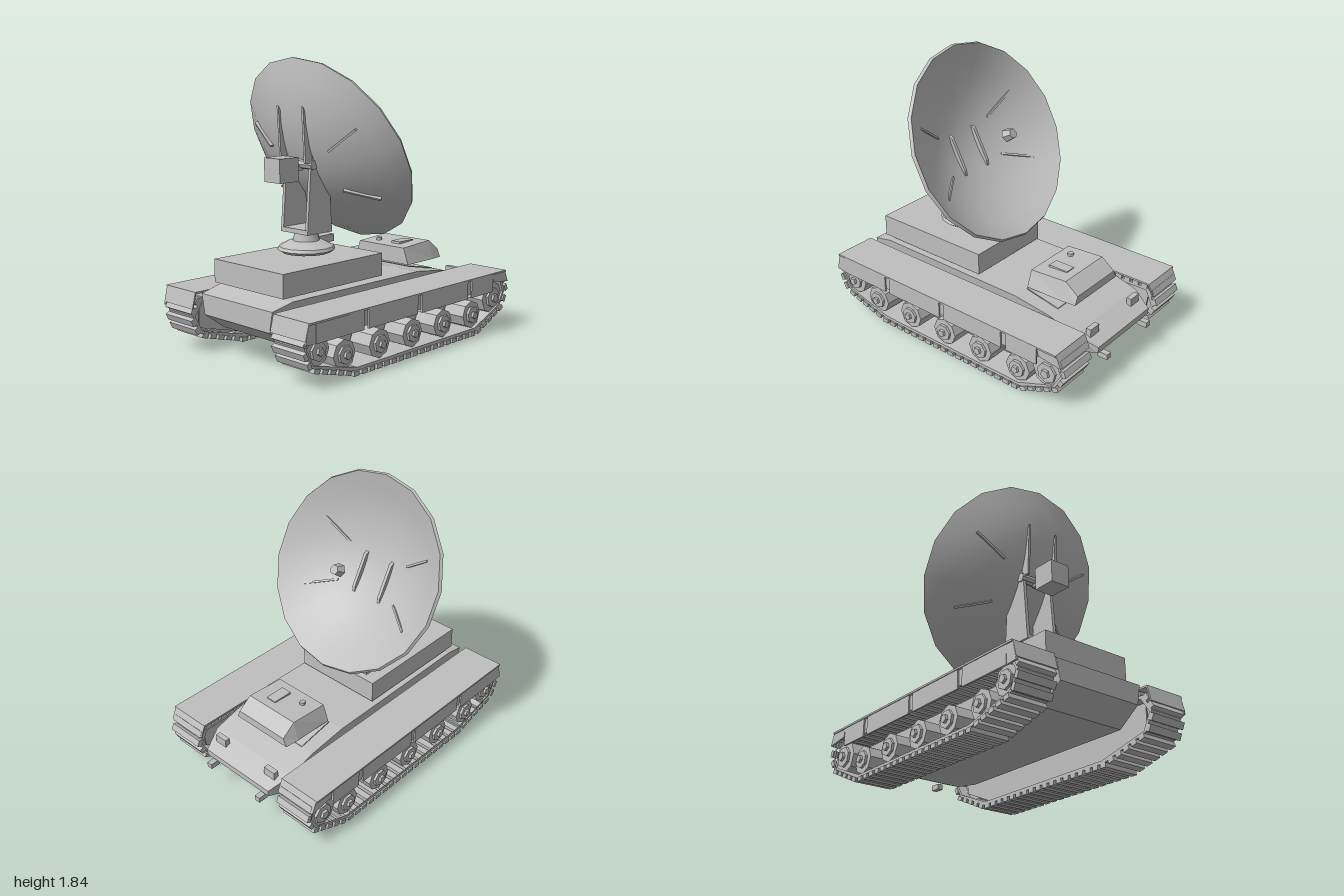
import * as THREE from 'three';
import { toCreasedNormals } from 'three/addons/utils/BufferGeometryUtils.js';

export function createModel() {
  const model = new THREE.Group();
  const grey = new THREE.MeshStandardMaterial({ color: 0xbfbfbf });
  grey.name = 'plain grey';

  function add(name, geometry, x = 0, y = 0, z = 0, parent = model) {
    const mesh = new THREE.Mesh(geometry, grey);
    mesh.name = name;
    mesh.position.set(x, y, z);
    parent.add(mesh);
    return mesh;
  }
  // Box given by its limits on each axis
  function box(name, x0, x1, y0, y1, z0, z1, parent = model) {
    return add(name, new THREE.BoxGeometry(x1 - x0, y1 - y0, z1 - z0),
      (x0 + x1) / 2, (y0 + y1) / 2, (z0 + z1) / 2, parent);
  }
  // Side-view polygon given thickness along z
  function plate(name, points, z0, z1, parent = model) {
    const shape = new THREE.Shape(points.map(p => new THREE.Vector2(...p)));
    return add(name, new THREE.ExtrudeGeometry(shape, { depth: z1 - z0, bevelEnabled: false }), 0, 0, z0, parent);
  }
  // Trapezoid sections along x: [x, bottom y, bottom half width, top y, top half width]
  function loft(name, stations) {
    const rings = stations.map(([x, yb, zb, yt, zt]) => [[x, yb, -zb], [x, yt, -zt], [x, yt, zt], [x, yb, zb]]);
    const pos = [];
    const quad = (a, b, c, d) => pos.push(...a, ...b, ...c, ...a, ...c, ...d);
    for (let i = 0; i < rings.length - 1; i++) {
      for (let k = 0; k < 4; k++) {
        const n = (k + 1) % 4;
        quad(rings[i][k], rings[i][n], rings[i + 1][n], rings[i + 1][k]);
      }
    }
    const first = rings[0], last = rings[rings.length - 1];
    quad(first[3], first[2], first[1], first[0]);
    quad(...last);
    const g = new THREE.BufferGeometry();
    g.setAttribute('position', new THREE.Float32BufferAttribute(pos, 3));
    g.computeVertexNormals();
    return add(name, g);
  }
  // Wheel-like cylinder lying along z
  function disc(name, r, depth, sides, x, y, z, parent) {
    const g = toCreasedNormals(new THREE.CylinderGeometry(r, r, depth, sides), 0.3);
    g.rotateX(Math.PI / 2);
    return add(name, g, x, y, z, parent);
  }

  // Hull with sloped bow and tail
  loft('hull', [
    [-0.93, 0.27, 0.30, 0.40, 0.325], [-0.78, 0.16, 0.30, 0.435, 0.335],
    [0.35, 0.16, 0.30, 0.435, 0.34], [0.62, 0.16, 0.30, 0.40, 0.34],
    [0.82, 0.19, 0.30, 0.345, 0.34], [0.96, 0.24, 0.285, 0.28, 0.285],
  ]);
  plate('cabinFloor', [[0.37, 0.455], [0.37, 0.448], [0.62, 0.398], [0.62, 0.405]], -0.245, 0.245);

  // Crew cabin and hatches
  loft('cabin', [
    [0.37, 0.46, 0.24, 0.57, 0.20], [0.64, 0.46, 0.235, 0.587, 0.20], [0.735, 0.46, 0.225, 0.515, 0.20],
  ]);
  box('cabinHatch', 0.44, 0.58, 0.57, 0.59, 0.03, 0.105);
  add('cabinPeriscope', new THREE.CylinderGeometry(0.02, 0.02, 0.03, 6), 0.46, 0.58, -0.1);

  // Running gear for one side, mirrored to the other
  const path = [[-0.55, 0.03], [0.62, 0.03], [0.89, 0.15], [0.945, 0.25], [0.9, 0.36],
    [-0.9, 0.36], [-0.965, 0.25], [-0.91, 0.13]];
  const curve = new THREE.CurvePath();
  path.forEach((p, i) => curve.add(new THREE.LineCurve(
    new THREE.Vector2(...p), new THREE.Vector2(...path[(i + 1) % path.length]))));

  for (const s of [1, -1]) {
    const side = new THREE.Group();
    side.name = s > 0 ? 'leftTrackUnit' : 'rightTrackUnit';
    if (s < 0) side.rotation.y = Math.PI;
    model.add(side);
    const m = x => x * s;
    const span = (name, x0, x1, y0, y1, z0, z1) =>
      box(name, Math.min(m(x0), m(x1)), Math.max(m(x0), m(x1)), y0, y1, z0, z1, side);
    const sheet = (name, pts, z0, z1) => plate(name, pts.map(([x, y]) => [m(x), y]), z0, z1, side);

    // Track band and pads
    const band = new THREE.Shape(path.map(([x, y]) => new THREE.Vector2(m(x), y)));
    band.holes.push(new THREE.Path(path.map(([x, y]) =>
      new THREE.Vector2(m(x * 0.98), 0.2 + (y - 0.2) * 0.88))));
    add('trackBand', new THREE.ExtrudeGeometry(band, { depth: 0.25, bevelEnabled: false }), 0, 0, 0.375, side);
    const count = 62;
    for (let i = 0; i < count; i++) {
      const p = curve.getPointAt(i / count), t = curve.getTangentAt(i / count);
      const pad = add('trackPad', new THREE.BoxGeometry(0.045, 0.028, 0.265),
        m(p.x + t.y * 0.014), p.y - t.x * 0.014, 0.5025, side);
      pad.rotation.z = m(Math.atan2(t.y, t.x));
    }
    sheet('innerWall', [[-0.55, 0.06], [0.6, 0.06], [0.86, 0.17], [0.88, 0.33], [-0.88, 0.33], [-0.88, 0.15]], 0.42, 0.43);

    // Road wheels, sprocket and idler
    const wheels = [-0.63, -0.325, -0.02, 0.285, 0.59].map(x => [x, 0.145, 0.092]);
    wheels.push([-0.85, 0.215, 0.095], [0.82, 0.22, 0.11]);
    for (const [x, y, r] of wheels) {
      disc('wheel', r, 0.16, 8, m(x), y, 0.53, side);
      disc('wheelRim', r * 0.62, 0.02, 7, m(x), y, 0.617, side);
      disc('wheelHub', r * 0.28, 0.03, 5, m(x), y, 0.63, side);
    }

    // Fender, end flaps and skirt panels
    span('fender', -0.955, 0.91, 0.392, 0.404, 0.36, 0.66);
    sheet('frontFlap', [[0.765, 0.40], [0.91, 0.40], [0.945, 0.32], [0.78, 0.34]], 0.64, 0.652);
    sheet('rearFlap', [[-0.90, 0.40], [-0.955, 0.40], [-0.98, 0.28], [-0.90, 0.275]], 0.64, 0.652);
    sheet('frontMudguard', [[0.90, 0.40], [0.91, 0.40], [0.945, 0.32], [0.935, 0.32]], 0.36, 0.65);
    sheet('rearMudguard', [[-0.945, 0.40], [-0.955, 0.40], [-0.98, 0.30], [-0.97, 0.30]], 0.36, 0.65);
    for (const [a, b] of [[-0.90, -0.51], [-0.47, -0.02], [0.02, 0.49], [0.53, 0.765]]) {
      span('skirtPanel', a, b, 0.275, 0.395, 0.642, 0.655);
    }
    for (const x of [-0.49, 0, 0.51]) span('skirtBracket', x - 0.02, x + 0.02, 0.295, 0.39, 0.63, 0.645);

    // Bow lamp and tow hook
    box('bowLamp', 0.855, 0.89, 0.315, 0.37, s * 0.225 - 0.045, s * 0.225 + 0.045);
    box('towHook', 0.93, 1.0, 0.185, 0.222, s * 0.225 - 0.02, s * 0.225 + 0.02);
  }

  // Equipment housing and radar pedestal
  box('equipmentHousing', -0.835, 0.025, 0.457, 0.605, -0.315, 0.315);
  box('controlBox', -0.155, 0.005, 0.63, 0.68, -0.245, -0.10);
  const base = [[0, 0.625], [0.155, 0.625], [0.185, 0.645], [0.175, 0.665], [0.115, 0.695], [0.085, 0.70], [0.075, 0.755], [0, 0.755]];
  add('turntable', toCreasedNormals(new THREE.LatheGeometry(base.map(p => new THREE.Vector2(...p)), 14), 0.5), -0.345, 0, 0);
  box('yokeFoot', -0.45, -0.235, 0.755, 0.785, -0.12, 0.12);
  for (const z of [-0.11, 0.11]) {
    plate('yokeArm', [[-0.45, 0.755], [-0.235, 0.755], [-0.255, 1.05], [-0.365, 1.25], [-0.405, 1.27], [-0.42, 1.15]], z - 0.011, z + 0.011);
    plate('dishBracket', [[-0.48, 1.55], [-0.46, 1.20], [-0.39, 1.20], [-0.45, 1.50]], z - 0.008, z + 0.008);
  }
  disc('tiltAxle', 0.03, 0.26, 8, -0.40, 1.19, 0, model);
  box('counterweight', -0.63, -0.475, 1.09, 1.24, -0.07, 0.07);
  box('counterweightArm', -0.48, -0.40, 1.15, 1.19, -0.03, 0.03);

  // Tilted parabolic dish
  const dish = new THREE.Group();
  dish.name = 'dishAssembly';
  dish.position.set(-0.13, 1.265, 0);
  dish.rotation.z = -1.091;
  model.add(dish);
  const R = 0.665, depth = 0.25, steps = 6, profile = [];
  const bowl = r => -depth * (1 - (r / R) ** 2);
  for (let i = 0; i <= steps; i++) profile.push(new THREE.Vector2(R * i / steps, bowl(R * i / steps) - 0.02));
  for (let i = steps; i >= 0; i--) profile.push(new THREE.Vector2((R - 0.012) * i / steps, bowl(R * i / steps)));
  add('dish', toCreasedNormals(new THREE.LatheGeometry(profile, 18, Math.PI / 2), 0.6), 0, 0, 0, dish);
  add('feedHorn', toCreasedNormals(new THREE.CylinderGeometry(0.032, 0.045, 0.06, 6), 0.3), 0, 0.178, 0, dish);

  // Radial stiffeners showing on the dish face
  for (const a of [61, 119, 241, 299]) {
    const arm = new THREE.Group();
    arm.name = 'dishRib';
    arm.rotation.y = THREE.MathUtils.degToRad(a);
    dish.add(arm);
    add('ribStrip', new THREE.BoxGeometry(0.24, 0.05, 0.014), 0.395, bowl(0.395) - 0.008, 0, arm).rotation.z = 0.42;
  }
  return model;
}
